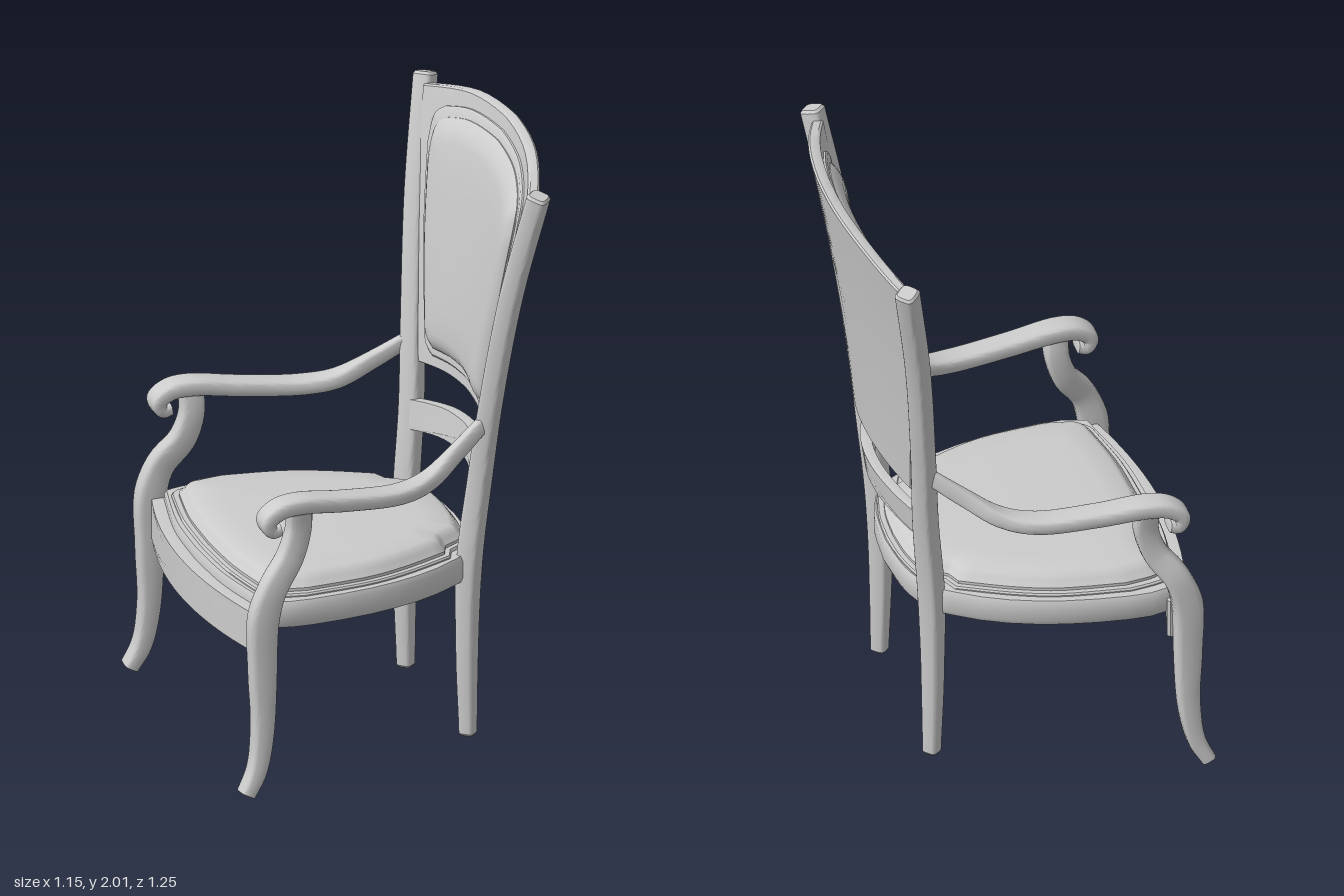
import * as THREE from 'three';
import { toCreasedNormals } from 'three/addons/utils/BufferGeometryUtils.js';

const material = new THREE.MeshStandardMaterial({ color: 0xcccccc });
const V = (x, y, z) => new THREE.Vector3(x, y, z);

// Skins a list of equal-length closed rings, caps both ends and makes the faces point outward.
function skin(name, rings, crease = 0.6) {
  const n = rings[0].length;
  const pos = rings.flat().flatMap((p) => [p.x, p.y, p.z]);
  const tris = [];
  for (let r = 0; r < rings.length - 1; r++) {
    for (let i = 0; i < n; i++) {
      const j = (i + 1) % n, a = r * n, b = a + n;
      tris.push([a + i, a + j, b + j], [a + i, b + j, b + i]);
    }
  }
  // end caps fan around the ring centres
  [0, rings.length - 1].forEach((r, end) => {
    const c = rings[r].reduce((s, p) => s.add(p), V(0, 0, 0)).divideScalar(n);
    const ci = pos.length / 3;
    pos.push(c.x, c.y, c.z);
    for (let i = 0; i < n; i++) {
      const a = r * n + i, b = r * n + (i + 1) % n;
      tris.push(end ? [ci, a, b] : [ci, b, a]);
    }
  });
  const at = (i) => V(pos[3 * i], pos[3 * i + 1], pos[3 * i + 2]);
  const volume = tris.reduce((s, [a, b, c]) => s + at(a).dot(at(b).cross(at(c))), 0);
  const geo = new THREE.BufferGeometry();
  geo.setAttribute('position', new THREE.Float32BufferAttribute(pos, 3));
  geo.setIndex(tris.flatMap(([a, b, c]) => (volume < 0 ? [a, c, b] : [a, b, c])));
  const mesh = new THREE.Mesh(toCreasedNormals(geo, crease), material);
  mesh.name = name;
  return mesh;
}

// Sweeps a rounded rectangle along stations [x, y, z, width, depth]; width lies along side.
function sweep(name, stations, side, steps = 40) {
  const path = new THREE.CatmullRomCurve3(stations.map(([x, y, z]) => V(x, y, z)));
  const size = new THREE.CatmullRomCurve3(stations.map((s) => V(s[3], s[4], 0)), false, 'catmullrom', 0.3);
  const ring = (t, k) => {
    const T = path.getTangent(t), c = path.getPoint(t), d = size.getPoint(t);
    const N = T.clone().cross(side).normalize();
    const S = N.clone().cross(T).normalize();
    return Array.from({ length: 20 }, (_, i) => {
      const a = (i / 20) * Math.PI * 2;
      const p = (v) => Math.sign(v) * Math.sqrt(Math.abs(v)) * 0.5 * k;
      return c.clone().addScaledVector(S, p(Math.cos(a)) * d.x).addScaledVector(N, p(Math.sin(a)) * d.y);
    });
  };
  const rings = [ring(0, 0.8)];
  for (let i = 0; i <= steps; i++) {
    const t = 0.004 + (i / steps) * 0.992;
    rings.push(ring(t, 1));
  }
  rings.push(ring(1, 0.8));
  return skin(name, rings);
}

// Symmetric closed outline from smooth curves [[across, along], ...] that meet in corners.
function outline(...curves) {
  const half = [];
  curves.forEach((c) => {
    const pts = new THREE.SplineCurve(c.map(([a, b]) => new THREE.Vector2(a, b))).getPoints(10);
    half.push(...(half.length ? pts.slice(1) : pts));
  });
  const other = half.slice(1, -1).reverse().map((p) => new THREE.Vector2(-p.x, p.y));
  return [...half, ...other];
}

// Builds a bent slab or cushion: the outline scaled about a centre through [scale, height] steps.
function pad(name, points, centre, profile, map) {
  const rings = profile.map(([s, h]) =>
    points.map((p) => map(p.x * s, centre + (p.y - centre) * s, h)));
  return skin(name, rings);
}

// Profile of a plate with softened edges, closed towards the middle so it can bend.
const plate = (h0, h1, e = 0.985) => {
  const b = (h1 - h0) * 0.18;
  const inner = [0.8, 0.6, 0.4, 0.2, 0.02];
  return [
    ...inner.slice().reverse().map((s) => [s, h0]), [e, h0], [1, h0 + b],
    [1, h1 - b], [e, h1], ...inner.map((s) => [s, h1]),
  ];
};

export function createModel() {
  const chair = new THREE.Group();
  chair.name = 'armchair';

  // Legs, posts and arms, mirrored left and right
  for (const m of [1, -1]) {
    const flip = (list) => list.map(([x, y, z, w, d]) => [x, y, z * m, w, d]);
    const across = V(0, 0, 1);
    chair.add(sweep('frontLeg', flip([
      [-0.555, 0, 0.59, 0.07, 0.05], [-0.515, 0.08, 0.582, 0.07, 0.06],
      [-0.493, 0.22, 0.575, 0.072, 0.072], [-0.492, 0.42, 0.572, 0.075, 0.09],
      [-0.489, 0.6, 0.573, 0.076, 0.1], [-0.455, 0.7, 0.57, 0.072, 0.09],
      [-0.39, 0.79, 0.545, 0.07, 0.085], [-0.36, 0.88, 0.54, 0.07, 0.08],
      [-0.36, 0.965, 0.55, 0.07, 0.08],
    ]), across));
    chair.add(sweep('backPost', flip([
      [0.295, 0, 0.315, 0.052, 0.052], [0.292, 0.3, 0.315, 0.065, 0.065],
      [0.298, 0.6, 0.32, 0.076, 0.076], [0.325, 0.9, 0.347, 0.073, 0.073],
      [0.348, 1.2, 0.4, 0.07, 0.07], [0.388, 1.58, 0.482, 0.07, 0.07],
      [0.45, 1.95, 0.575, 0.07, 0.07],
    ]), V(Math.cos(0.75), 0, m * Math.sin(0.75)), 50));
    chair.add(sweep('armrest', flip([
      [0.325, 1.105, 0.385, 0.035, 0.05], [0.22, 1.032, 0.425, 0.045, 0.055],
      [0.11, 0.965, 0.468, 0.075, 0.055], [0, 0.944, 0.503, 0.09, 0.054],
      [-0.2, 0.955, 0.53, 0.092, 0.056], [-0.36, 0.972, 0.546, 0.095, 0.058],
      [-0.43, 0.963, 0.552, 0.093, 0.056], [-0.473, 0.93, 0.555, 0.09, 0.052],
      [-0.46, 0.898, 0.555, 0.085, 0.046], [-0.43, 0.902, 0.555, 0.08, 0.04],
    ]), across, 60));
  }

  // Seat frame, border and cushion
  const flat = (z, x, h) => V(x, h, z);
  chair.add(pad('seatFrame', outline(
    [[0, -0.53], [0.25, -0.515], [0.52, -0.46]],
    [[0.52, -0.46], [0.545, -0.35], [0.515, -0.1], [0.44, 0.12], [0.32, 0.3]],
    [[0.32, 0.3], [0.18, 0.352], [0, 0.37]],
  ), -0.08, plate(0.54, 0.63), flat));
  const cushion = outline(
    [[0, -0.485], [0.22, -0.475], [0.43, -0.44]],
    [[0.43, -0.44], [0.465, -0.41], [0.485, -0.31]],
    [[0.485, -0.31], [0.46, -0.1], [0.41, 0.05], [0.33, 0.21]],
    [[0.33, 0.21], [0.28, 0.23]],
    [[0.28, 0.23], [0.23, 0.305]],
    [[0.23, 0.305], [0.12, 0.33], [0, 0.338]],
  );
  chair.add(pad('seatBorder', cushion, -0.08,
    [[1.05, 0.62], [1.05, 0.634], [1.04, 0.64], [0.9, 0.64]], flat));
  chair.add(pad('seatCushion', cushion, -0.08,
    [[1, 0.63], [1, 0.65], [0.985, 0.657], [0.965, 0.668], [0.94, 0.682], [0.9, 0.69], [0.7, 0.694], [0.3, 0.696]], flat));

  // Bowed front apron
  chair.add(pad('frontApron', outline(
    [[0, 0.595], [0.27, 0.595], [0.55, 0.595]],
    [[0.55, 0.595], [0.55, 0.46]],
    [[0.55, 0.46], [0.27, 0.46], [0, 0.46]],
  ), 0.5275, plate(0, 0.065), (z, y, h) => V(-0.572 + 0.26 * z * z + h, y, z)));

  // Curved lower slat between the posts
  chair.add(pad('backSlat', outline(
    [[0, 0.952], [0.16, 0.945], [0.335, 0.92]],
    [[0.335, 0.92], [0.335, 0.82]],
    [[0.335, 0.82], [0.16, 0.845], [0, 0.852]],
  ), 0.89, plate(0, 0.036), (z, y, h) => V(0.417 + 0.15 * (y - 0.9) - 0.75 * z * z - h, y, z)));

  // Curved backrest panel with its border and cushion on the front
  const bend = (z, y, h) => {
    const t = (y - 1.05) / 0.95;
    return V(0.432 + 0.09 * t + 0.05 * t * t - (0.45 - 0.13 * t) * z * z - h, y, z);
  };
  chair.add(pad('backPanel', outline(
    [[0, 2], [0.28, 1.983], [0.53, 1.925]],
    [[0.53, 1.925], [0.445, 1.5], [0.35, 1.04]],
    [[0.35, 1.04], [0.17, 1.06], [0, 1.067]],
  ), 1.52, plate(0, 0.04, 0.99), bend));
  const backOutline = outline(
    [[0, 1.92], [0.22, 1.905], [0.36, 1.87]],
    [[0.36, 1.87], [0.405, 1.83], [0.41, 1.75]],
    [[0.41, 1.75], [0.355, 1.48], [0.285, 1.2]],
    [[0.285, 1.2], [0.27, 1.15], [0.23, 1.125]],
    [[0.23, 1.125], [0.12, 1.135], [0, 1.14]],
  );
  chair.add(pad('backBorder', backOutline, 1.52,
    [[1.08, 0.03], [1.08, 0.046], [1.06, 0.052], [0.9, 0.052], [0.6, 0.045], [0.02, 0.045]], bend));
  chair.add(pad('backCushion', backOutline, 1.52,
    [[1, 0.04], [1, 0.055], [0.98, 0.064], [0.94, 0.076], [0.89, 0.086], [0.82, 0.091],
      [0.6, 0.093], [0.4, 0.094], [0.2, 0.094], [0.02, 0.094]], bend));

  return chair;
}
